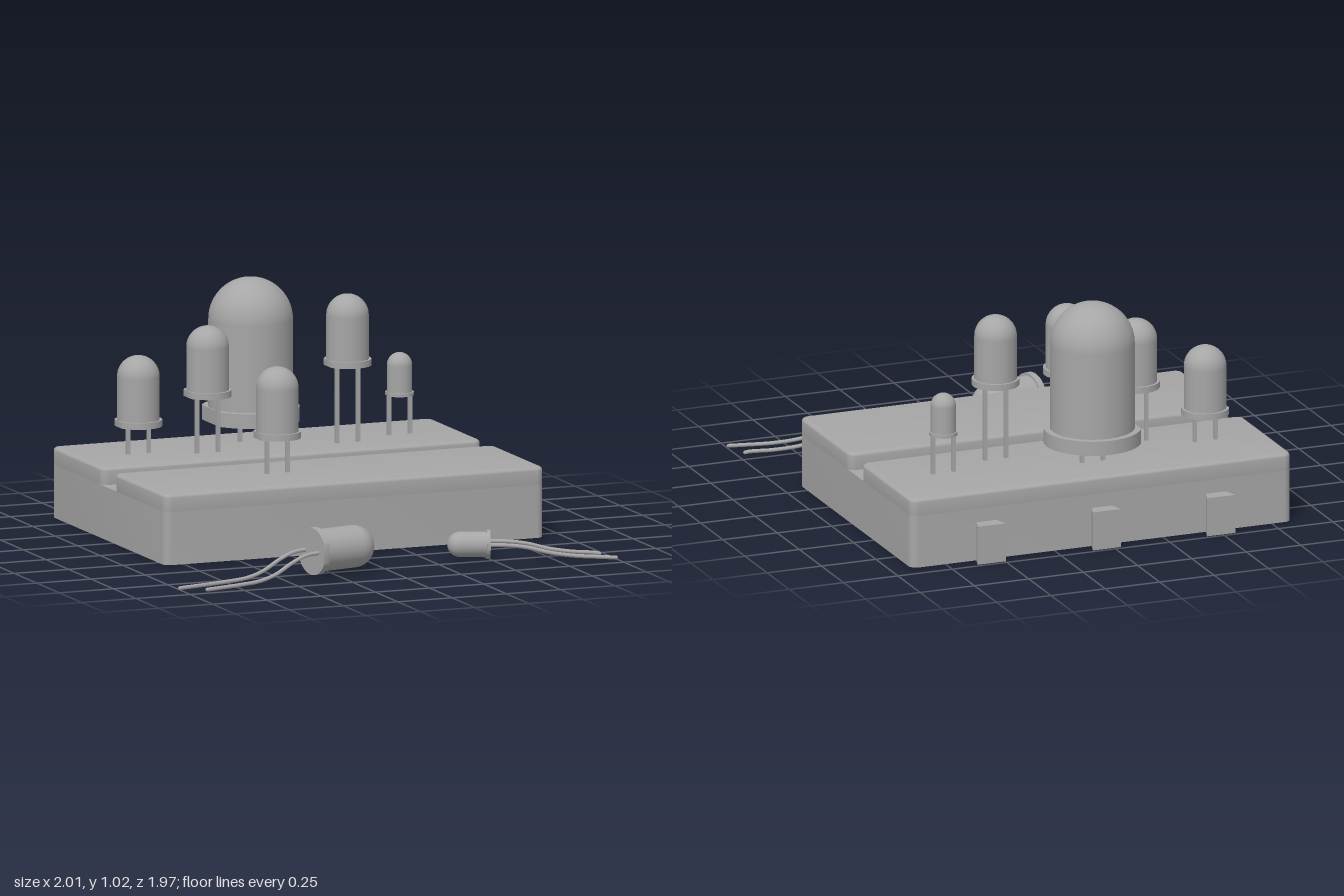
import * as THREE from 'three';
import { toCreasedNormals } from 'three/addons/utils/BufferGeometryUtils.js';

const grey = new THREE.MeshStandardMaterial({ color: 0xa6a6a6 });
grey.name = 'grey';

function part(name, geometry, parent) {
  const mesh = new THREE.Mesh(geometry, grey);
  mesh.name = name;
  parent.add(mesh);
  return mesh;
}

// Extrude a plan outline (x, -z) upwards from y0
function slab(shape, y0, depth, options = {}) {
  const g = new THREE.ExtrudeGeometry(shape, { depth, bevelEnabled: false, curveSegments: 8, ...options });
  g.rotateX(-Math.PI / 2).translate(0, y0, 0);
  return toCreasedNormals(g, 0.6);
}

// Rounded rectangle in plan
function roundedPlan(x0, x1, z0, z1, r) {
  const s = new THREE.Shape();
  s.absarc(x1 - r, -z0 - r, r, 0, Math.PI / 2);
  s.absarc(x0 + r, -z0 - r, r, Math.PI / 2, Math.PI);
  s.absarc(x0 + r, -z1 + r, r, Math.PI, Math.PI * 1.5);
  s.absarc(x1 - r, -z1 + r, r, Math.PI * 1.5, Math.PI * 2);
  return s;
}

// Bulb standing on its flange at y = 0, flange flattened on the -x side
function makeBulb(name, r, flangeR, flangeH, height) {
  const bulb = new THREE.Group();
  bulb.name = name;
  const cut = Math.acos(r * 1.02 / flangeR);
  const outline = new THREE.Shape();
  outline.absarc(0, 0, flangeR, -Math.PI + cut, Math.PI - cut);
  outline.closePath();
  const flange = new THREE.ExtrudeGeometry(outline, { depth: flangeH, bevelEnabled: false, curveSegments: 40 });
  flange.rotateX(-Math.PI / 2);
  part('flange', toCreasedNormals(flange, 0.5), bulb);

  const bodyH = height - r - flangeH;
  part('bulbBody', new THREE.CylinderGeometry(r, r, bodyH, 40, 1, true), bulb).position.y = flangeH + bodyH / 2;
  part('bulbDome', new THREE.SphereGeometry(r, 40, 14, 0, Math.PI * 2, 0, Math.PI / 2), bulb).position.y = height - r;
  return bulb;
}

const LEG = 0.016, SPREAD = 0.048;

export function createModel() {
  const model = new THREE.Group();
  model.name = 'breadboardWithLamps';

  // Board: lower block plus two raised pads with a channel between them
  const board = new THREE.Group();
  board.name = 'board';
  model.add(board);
  part('boardBlock', slab(roundedPlan(-0.84, 0.91, -0.93, 0.335, 0.035), 0.005, 0.23), board);
  const b = 0.015;
  for (const [name, z0, z1] of [['backPad', -0.93, -0.36], ['frontPad', -0.235, 0.335]]) {
    part(name, slab(roundedPlan(-0.84, 0.91, z0, z1, 0.035), 0.235, 0.06, {
      bevelEnabled: true, bevelThickness: b, bevelSize: b, bevelOffset: -b, bevelSegments: 4
    }), board);
  }

  // Dovetail tabs on the back edge
  for (const x of [-0.49, 0.035, 0.565]) {
    const s = new THREE.Shape();
    s.moveTo(x - 0.043, 0.92);
    s.lineTo(x + 0.043, 0.92);
    s.lineTo(x + 0.065, 0.99);
    s.lineTo(x - 0.065, 0.99);
    s.closePath();
    part('backTab', slab(s, 0.005, 0.17), board);
  }

  // Upright lamps: x, z, flange y, top y, radius, flange radius, flange height
  const lamps = [
    [-0.565, -0.625, 0.43, 0.735, 0.091, 0.102, 0.028],
    [-0.285, -0.53, 0.555, 0.86, 0.091, 0.102, 0.028],
    [-0.01, -0.715, 0.40, 1.02, 0.181, 0.209, 0.063],
    [0.36, -0.53, 0.645, 0.953, 0.091, 0.102, 0.028],
    [0.638, -0.622, 0.48, 0.665, 0.054, 0.061, 0.015],
    [-0.195, 0.027, 0.463, 0.77, 0.091, 0.102, 0.028]
  ];
  for (const [x, z, y, top, r, fr, fh] of lamps) {
    const lamp = makeBulb('uprightLamp', r, fr, fh, top - y);
    lamp.position.set(x, y, z);
    const len = y - 0.27;
    for (const side of [-1, 1]) {
      part('leg', new THREE.BoxGeometry(LEG, len, LEG), lamp).position.set(side * SPREAD, -len / 2, 0);
    }
    model.add(lamp);
  }

  // Lamps lying in front: base x, y, z, axis direction (x, z), bulb sizes,
  // two leg lengths (flat side first), leg drop as [distance, y]
  const lying = [
    { at: [-0.358, 0.112, 0.803], dir: [0.977, -0.215], bulb: [0.091, 0.102, 0.028, 0.305], legs: [0.575, 0.65],
      drop: [[0, 0.112], [0.06, 0.108], [0.13, 0.085], [0.22, 0.042], [0.3, 0.022], [0.4, 0.016], [1, 0.013]] },
    { at: [0.507, 0.066, 0.701], dir: [-0.94, -0.342], bulb: [0.054, 0.061, 0.015, 0.183], legs: [0.468, 0.535],
      drop: [[0, 0.07], [0.08, 0.068], [0.16, 0.058], [0.25, 0.036], [0.35, 0.022], [0.45, 0.016], [1, 0.012]] }
  ];
  for (const { at, dir: [c, s], bulb, legs, drop } of lying) {
    const lamp = makeBulb('lyingLamp', ...bulb);
    lamp.position.set(...at);
    lamp.quaternion.setFromRotationMatrix(new THREE.Matrix4().makeBasis(
      new THREE.Vector3(s, 0, -c), new THREE.Vector3(c, 0, s), new THREE.Vector3(0, -1, 0)));
    // Bent legs resting on the ground (local z points down)
    legs.forEach((len, i) => {
      const x = i ? SPREAD : -SPREAD;
      const pts = drop.map(([d, y]) => new THREE.Vector3(x, -Math.min(d, len), at[1] - y));
      const tube = new THREE.TubeGeometry(new THREE.CatmullRomCurve3(pts), 40, LEG * 0.55, 8);
      part('bentLeg', tube, lamp);
      const cap = part('legTip', new THREE.SphereGeometry(LEG * 0.55, 8, 6), lamp);
      cap.position.copy(pts[pts.length - 1]);
    });
    model.add(lamp);
  }
  return model;
}
